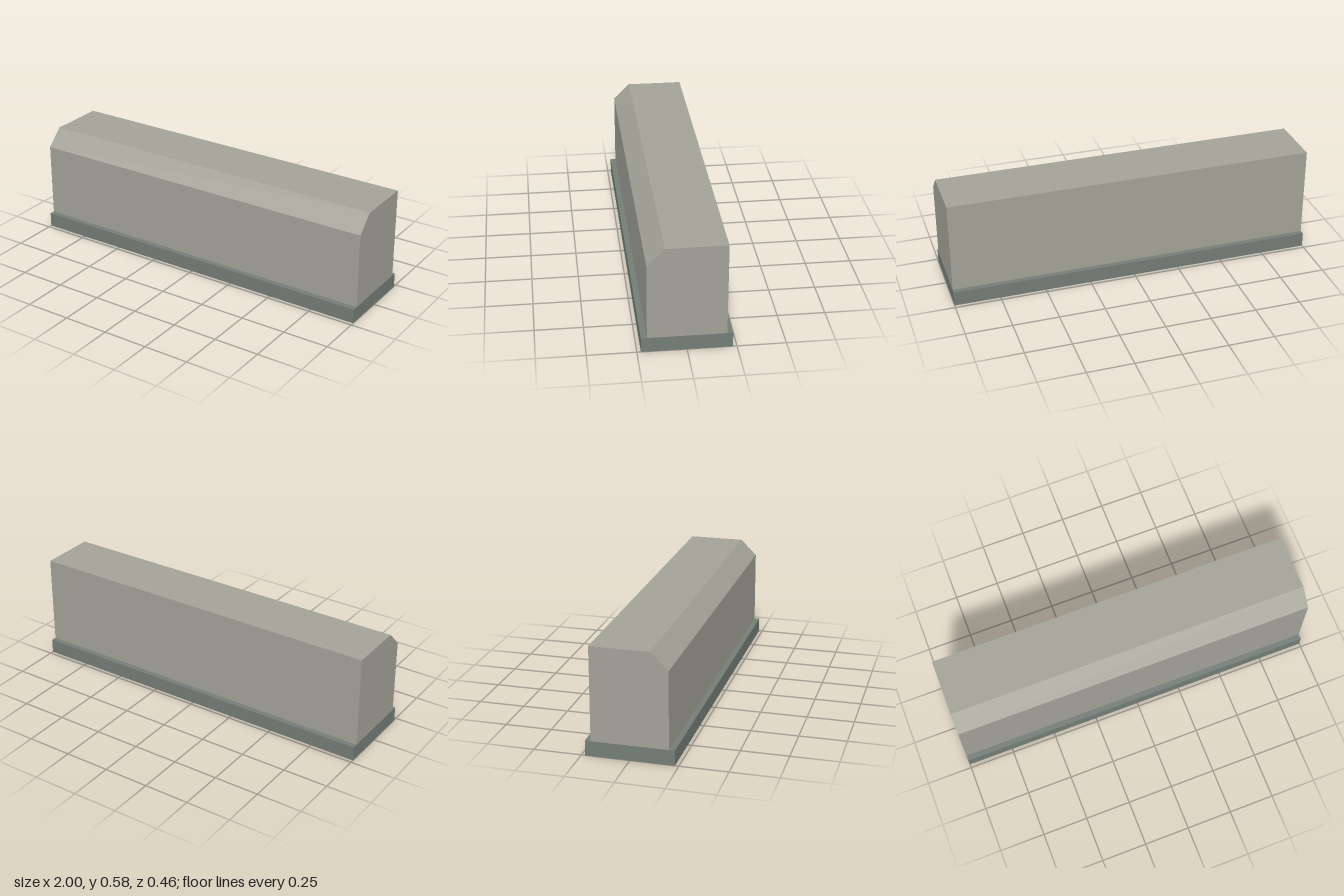
import * as THREE from 'three';

const LENGTH = 2;

export function createModel() {
  const group = new THREE.Group();
  const stone = new THREE.MeshStandardMaterial({ color: 0xa2a298 });
  stone.name = 'paleStone';
  const darkStone = new THREE.MeshStandardMaterial({ color: 0x747d77 });
  darkStone.name = 'darkStone';

  // Plinth, slightly deeper than the wall
  const plinth = new THREE.Mesh(new THREE.BoxGeometry(LENGTH, 0.08, 0.46), darkStone);
  plinth.name = 'plinth';
  plinth.position.y = 0.04;
  group.add(plinth);

  // Wall: (z, y) profile with a bevelled front top edge, extruded along x
  const profile = new THREE.Shape([
    [-0.2, 0.08], [0.2, 0.08], [0.2, 0.49], [0.11, 0.58], [-0.2, 0.58],
  ].map(([z, y]) => new THREE.Vector2(z, y)));
  const wallGeometry = new THREE.ExtrudeGeometry(profile, { depth: LENGTH, bevelEnabled: false });
  wallGeometry.translate(0, 0, -LENGTH / 2).rotateY(-Math.PI / 2);
  const wall = new THREE.Mesh(wallGeometry, stone);
  wall.name = 'wall';
  group.add(wall);

  return group;
}
